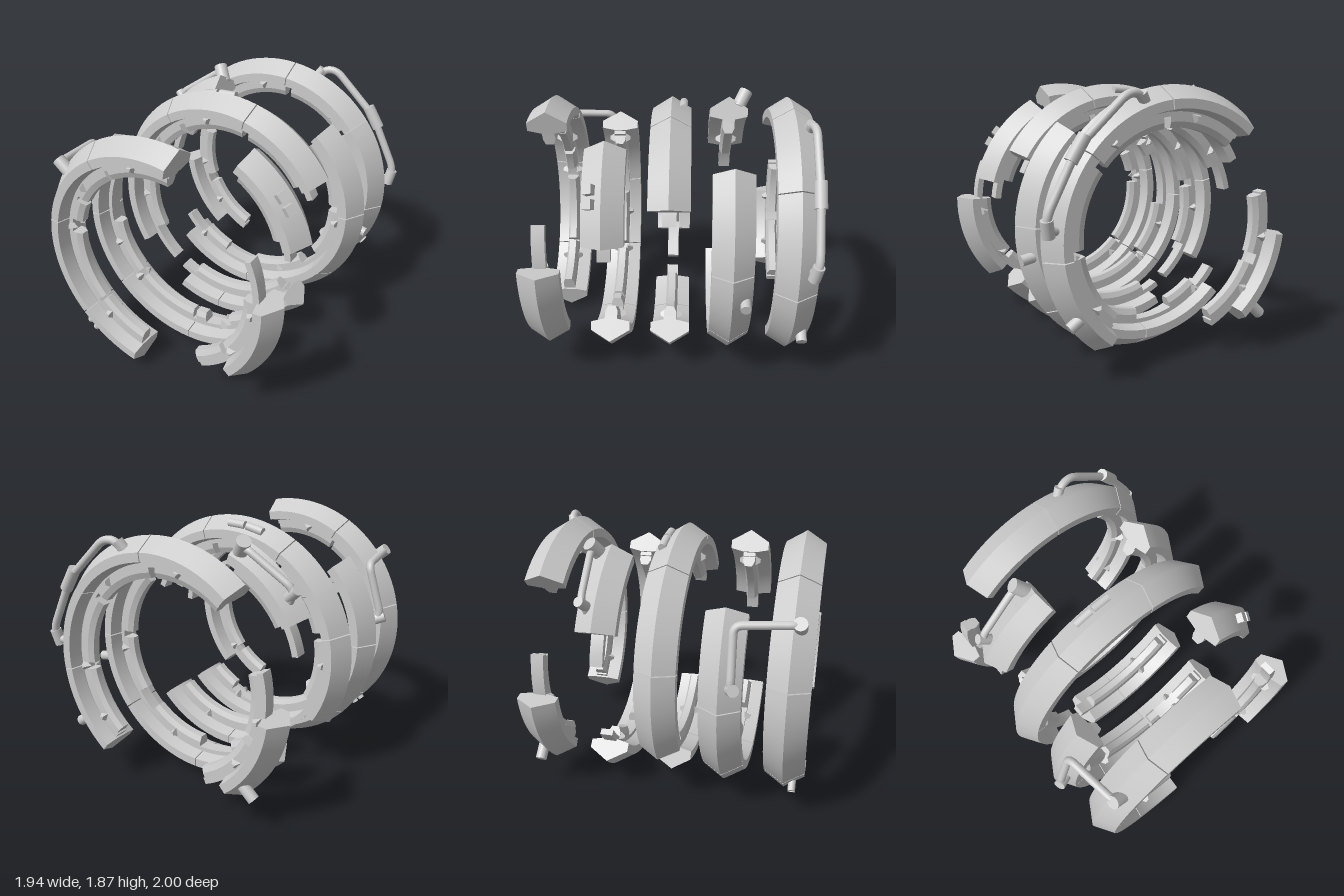
import * as THREE from 'three';
import { toCreasedNormals } from 'three/addons/utils/BufferGeometryUtils.js';

const CY = 0.935; // height of the common ring axis
const RAD = Math.PI / 180;
const mat = new THREE.MeshStandardMaterial({ color: 0xcccccc, side: THREE.DoubleSide });

// cross-sections as [radius, z], counter-clockwise
const SHELL = [[0.765, -0.05], [0.785, -0.14], [0.847, -0.14], [0.933, 0], [0.847, 0.14], [0.785, 0.14], [0.765, 0.05]];
const BED = [[0.735, -0.045], [0.78, -0.045], [0.78, 0.045], [0.735, 0.045]];
const RAIL = [[0.66, -0.027], [0.7, -0.045], [0.75, -0.045], [0.75, 0.045], [0.7, 0.045], [0.66, 0.027]];

// sweep a convex cross-section around the axis between two angles, with flat caps
function arc(profile, a0, a1) {
  const n = profile.length, steps = Math.max(1, Math.ceil((a1 - a0) / 4));
  const pos = [], idx = [];
  for (let j = 0; j <= steps; j++) {
    const a = (a0 + (a1 - a0) * j / steps) * RAD;
    for (const [r, z] of profile) pos.push(r * Math.cos(a), r * Math.sin(a), z);
  }
  for (let j = 0; j < steps; j++) for (let i = 0; i < n; i++) {
    const k = (i + 1) % n, p = j * n + i, q = j * n + k;
    idx.push(p, p + n, q, q, p + n, q + n);
  }
  const e = steps * n;
  for (let i = 1; i < n - 1; i++) idx.push(0, i, i + 1, e, e + i + 1, e + i);
  const g = new THREE.BufferGeometry();
  g.setAttribute('position', new THREE.Float32BufferAttribute(pos, 3));
  g.setIndex(idx);
  return toCreasedNormals(g, 0.2);
}

function add(parent, name, geo) {
  const m = new THREE.Mesh(geo, mat);
  m.name = name;
  parent.add(m);
  return m;
}

// place an object at an angle on a ring, its local y pointing outward
function onRing(mesh, angle, r, z) {
  mesh.position.set(r * Math.cos(angle * RAD), r * Math.sin(angle * RAD), z);
  mesh.rotation.z = (angle - 90) * RAD;
  return mesh;
}

// shells: [start, ...seams, end]; beds: low inner strips; rails: raised strips; lugs: angles
const RINGS = [
  { name: 'frontRing', z: 0.86,
    shells: [[78, 120, 168, 222, 257], [-43, 2]],
    beds: [[79, 256], [-64, 24]],
    rails: [[80, 119], [121, 150], [153, 167], [176, 221], [223, 256], [-65, -44], [-40, 1]],
    lugs: [101, 142.5, 172, 231.5, -7, -38] },
  { name: 'secondRing', z: 0.43,
    shells: [[15, 60.5], [137, 180, 222, 270, 317]],
    beds: [[6, 59], [138, 316]],
    rails: [[17, 58], [140, 150], [187, 223], [228, 268.5], [270.7, 278], [296, 314]],
    lugs: [51.5, 142.5, 201, 226, 290] },
  { name: 'middleRing', z: 0,
    shells: [[31, 75.5, 120, 167, 212], [245, 270, 317]],
    beds: [[24, 231], [238, 316]],
    rails: [[33, 74], [78, 118], [122, 165], [170, 208], [248, 314]],
    lugs: [51.5, 101, 142.5, 184, 290] },
  { name: 'fourthRing', z: -0.42,
    shells: [[110, 152], [225, 271, 321, 362, 408]],
    beds: [[111, 168], [215, 407]],
    rails: [[112, 151], [230, 250], [273, 311], [325, 360], [364, 406]],
    lugs: [142.5, 231.5, 292, 353] },
  { name: 'rearRing', z: -0.84,
    shells: [[-52, -7, 39, 83.5, 130], [187, 231]],
    beds: [[-51, 129], [165, 246]],
    rails: [[-50, -9], [-5, 37], [41, 82], [86, 128], [166, 200], [206, 245]],
    lugs: [-38, -7, 51.5, 101, 190, 220] },
];

function buildRing({ name, z, shells, beds, rails, lugs }) {
  const ring = new THREE.Group();
  ring.name = name;
  ring.position.set(0, CY, z);
  for (const cuts of shells) for (let i = 0; i < cuts.length - 1; i++) {
    const g0 = i > 0 ? 0.25 : 0, g1 = i < cuts.length - 2 ? 0.25 : 0;
    add(ring, 'shellSegment', arc(SHELL, cuts[i] + g0, cuts[i + 1] - g1));
  }
  for (const [a, b] of beds) add(ring, 'innerStrip', arc(BED, a, b));
  for (const [a, b] of rails) add(ring, 'innerRail', arc(RAIL, a, b));
  // small three-sided brackets either side of the rail, pointing inward
  for (const a of lugs) for (const s of [-1, 1]) {
    const geo = new THREE.CylinderGeometry(0.016, 0.045, 0.045, 3).toNonIndexed();
    geo.computeVertexNormals();
    geo.rotateX(s * Math.PI / 2);
    if (s < 0) geo.rotateZ(Math.PI);
    onRing(add(ring, 'railBracket', geo), a, 0.735, s * 0.058);
  }
  return ring;
}

// pipe through a list of corner points, with rounded elbows
function pipe(group, name, pts, radius) {
  const v = pts.map(p => new THREE.Vector3(...p));
  const path = new THREE.CurvePath();
  let from = v[0];
  for (let i = 1; i < v.length - 1; i++) {
    const before = v[i].distanceTo(v[i - 1]), after = v[i].distanceTo(v[i + 1]);
    const a = v[i].clone().lerp(v[i - 1], Math.min(0.45, 0.06 / before));
    const b = v[i].clone().lerp(v[i + 1], Math.min(0.45, 0.06 / after));
    path.add(new THREE.LineCurve3(from, a));
    path.add(new THREE.QuadraticBezierCurve3(a, v[i], b));
    from = b;
  }
  path.add(new THREE.LineCurve3(from, v[v.length - 1]));
  add(group, name, new THREE.TubeGeometry(path, 60, radius, 12));
}

// capped cylinder between two points
function rod(group, name, a, b, radius) {
  const p = new THREE.Vector3(...a), q = new THREE.Vector3(...b), d = q.clone().sub(p);
  const m = add(group, name, new THREE.CylinderGeometry(radius, radius, d.length(), 16));
  m.position.copy(p).lerp(q, 0.5);
  m.quaternion.setFromUnitVectors(new THREE.Vector3(0, 1, 0), d.normalize());
}

export function createModel() {
  const model = new THREE.Group();
  model.name = 'brokenRings';
  for (const r of RINGS) model.add(buildRing(r));

  const fittings = new THREE.Group();
  fittings.name = 'fittings';
  model.add(fittings);

  // pipe on the rear ring with its coupling sleeve
  pipe(fittings, 'rearPipe', [[0.26, 1.74, -0.92], [0.32, 1.82, -0.94], [0.41, 1.815, -0.955], [0.74, 1.51, -0.955],
    [0.935, 1.13, -0.955], [0.94, 1.04, -0.945], [0.85, 1.02, -0.92]], 0.028);
  rod(fittings, 'pipeSleeve', [0.69, 1.58, -0.955], [0.785, 1.43, -0.955], 0.043);
  rod(fittings, 'pipeEnd', [0.26, 1.76, -0.915], [0.3, 1.82, -0.935], 0.035);
  rod(fittings, 'pipeEnd', [0.94, 1.1, -0.95], [0.92, 0.99, -0.93], 0.04);

  // pipe on the fourth ring
  pipe(fittings, 'fourthPipe', [[-0.36, 1.72, -0.5], [-0.4, 1.79, -0.54], [-0.74, 1.56, -0.505], [-0.7, 1.46, -0.48]], 0.026);
  rod(fittings, 'pipeEnd', [-0.33, 1.73, -0.49], [-0.4, 1.83, -0.55], 0.05);
  rod(fittings, 'pipeEnd', [-0.69, 1.49, -0.48], [-0.77, 1.56, -0.51], 0.036);

  // pipe bridging the two front rings
  pipe(fittings, 'bridgePipe', [[-0.68, 1.46, 0.9], [-0.765, 1.53, 0.9], [-0.81, 1.51, 0.5], [-0.92, 1.14, 0.51], [-0.86, 1.07, 0.5]], 0.028);
  rod(fittings, 'pipeEnd', [-0.69, 1.47, 0.9], [-0.78, 1.545, 0.9], 0.045);
  rod(fittings, 'pipeEnd', [-0.85, 1.09, 0.49], [-0.945, 1.13, 0.53], 0.04);

  // round studs: [angle, outer radius, z, stud radius]
  for (const [a, r, z, s] of [[-11, 0.945, -0.51, 0.036], [-34, 0.95, -0.92, 0.038], [223.5, 0.985, -0.91, 0.04],
    [227.4, 0.96, 0.92, 0.026], [231.5, 0.965, 0.92, 0.026]]) {
    const m = add(fittings, 'stud', new THREE.CylinderGeometry(s, s, 0.13, 16));
    onRing(m, a, r - 0.065, z);
    m.position.y += CY;
  }

  // short cylinders lying on the middle ring
  for (const a of [102.5, 93]) {
    const geo = new THREE.CylinderGeometry(0.03, 0.03, 0.13, 16).rotateZ(Math.PI / 2);
    onRing(add(fittings, 'canister', geo), a, 0.888, -0.085).position.y += CY;
  }

  // square blocks on the second ring
  for (const a of [39, 33]) {
    const m = onRing(add(fittings, 'block', new THREE.BoxGeometry(0.065, 0.07, 0.065)), a, 0.9, 0.505);
    m.position.y += CY;
    m.rotateX(0.5);
  }
  return model;
}
